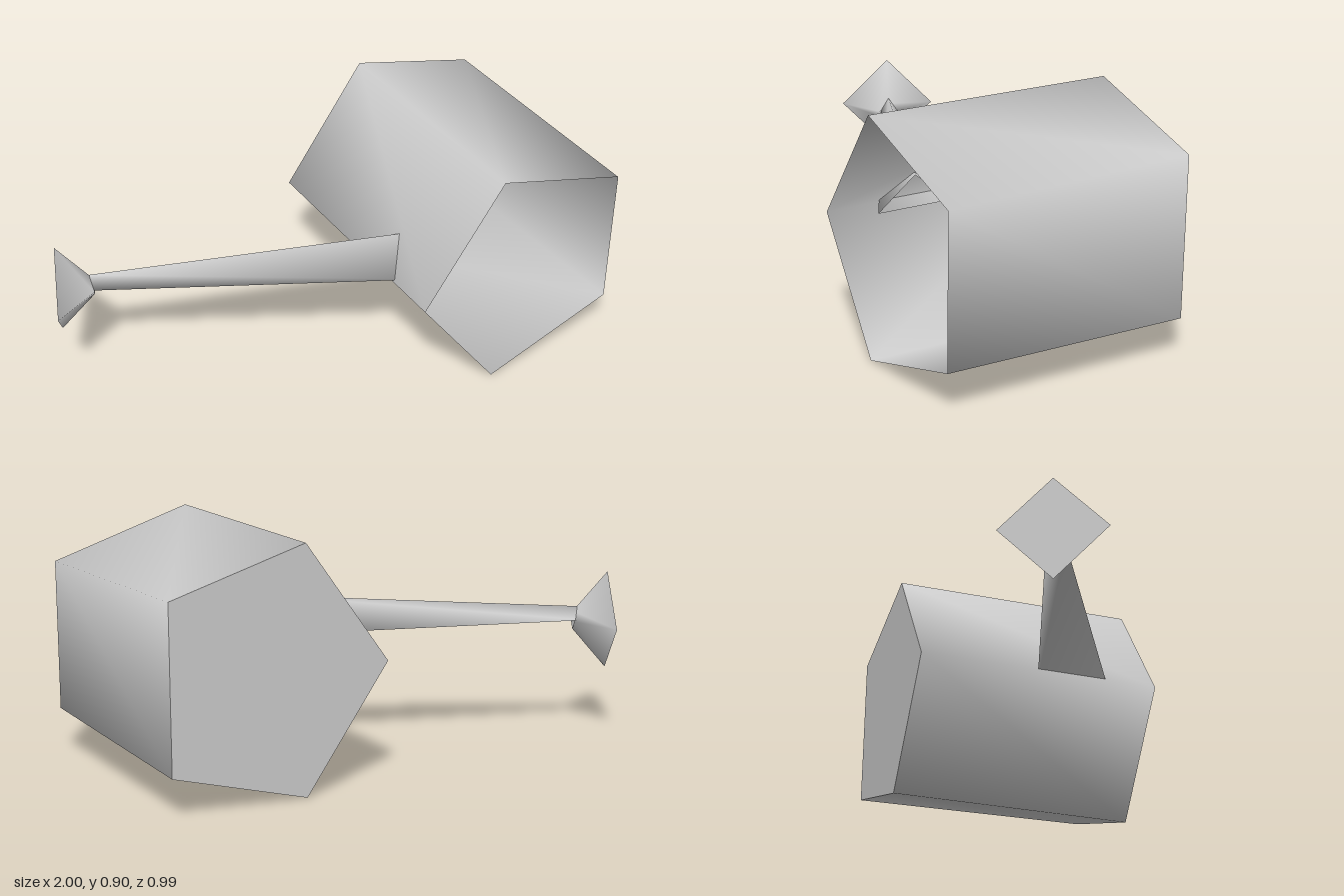
import * as THREE from 'three';

const metal = new THREE.MeshStandardMaterial({ color: 0xcccccc, side: THREE.DoubleSide });
metal.name = 'greyMetal';

// Mesh from a list of points and triangle indices, with smooth shared normals
function surface(name, points, index) {
  const geo = new THREE.BufferGeometry();
  geo.setAttribute('position', new THREE.Float32BufferAttribute(points.flat(), 3));
  geo.setIndex(index);
  geo.computeVertexNormals();
  const mesh = new THREE.Mesh(geo, metal);
  mesh.name = name;
  return mesh;
}

// Wall between two rings, counter-clockwise as seen from the end ring
function loft(name, start, end) {
  const n = start.length;
  const index = [];
  for (let i = 0; i < n; i++) {
    const j = (i + 1) % n;
    index.push(i, j, n + j, i, n + j, n + i);
  }
  return surface(name, [...start, ...end], index);
}

// Flat cap closing the start ring
function cap(name, ring) {
  const index = [];
  for (let i = 1; i < ring.length - 1; i++) index.push(0, i + 1, i);
  return surface(name, ring, index);
}

// Five-sided body section, mirrored about y = 0.45
function bodyRing(z, rightX, rightH) {
  const mid = 0.449;
  return [
    [rightX, mid - rightH, z], [rightX, mid + rightH, z],
    [0.47, 0.897, z], [0.145, mid, z], [0.47, 0, z],
  ];
}

// Four-cornered section of the sprinkler head, square to the spout direction
function headRing(x, z, r) {
  const y = 0.45;
  return [
    [x + 0.43 * r, y, z - 0.9 * r], [x, y + r, z],
    [x - 0.43 * r, y, z + 0.9 * r], [x, y - r, z],
  ];
}

export function createModel() {
  const model = new THREE.Group();
  model.name = 'wateringCan';

  // Body: closed at the back, open at the front
  const back = bodyRing(-0.457, 0.98, 0.3);
  const front = bodyRing(0.495, 1.0, 0.28);
  model.add(loft('body', back, front), cap('bodyBottom', back));

  // Three-sided spout reaching slightly inside the body
  model.add(loft('spout',
    [[-0.825, 0.455, -0.315], [-0.825, 0.503, -0.28], [-0.825, 0.455, -0.245]],
    [[0.268, 0.455, 0.05], [0.268, 0.575, 0.203], [0.268, 0.455, 0.352]]));

  // Sprinkler head with a closed square face
  const face = headRing(-0.92, -0.325, 0.188);
  model.add(loft('sprinklerHead', face, headRing(-0.802, -0.268, 0.035)),
    cap('sprinklerFace', face));

  return model;
}
